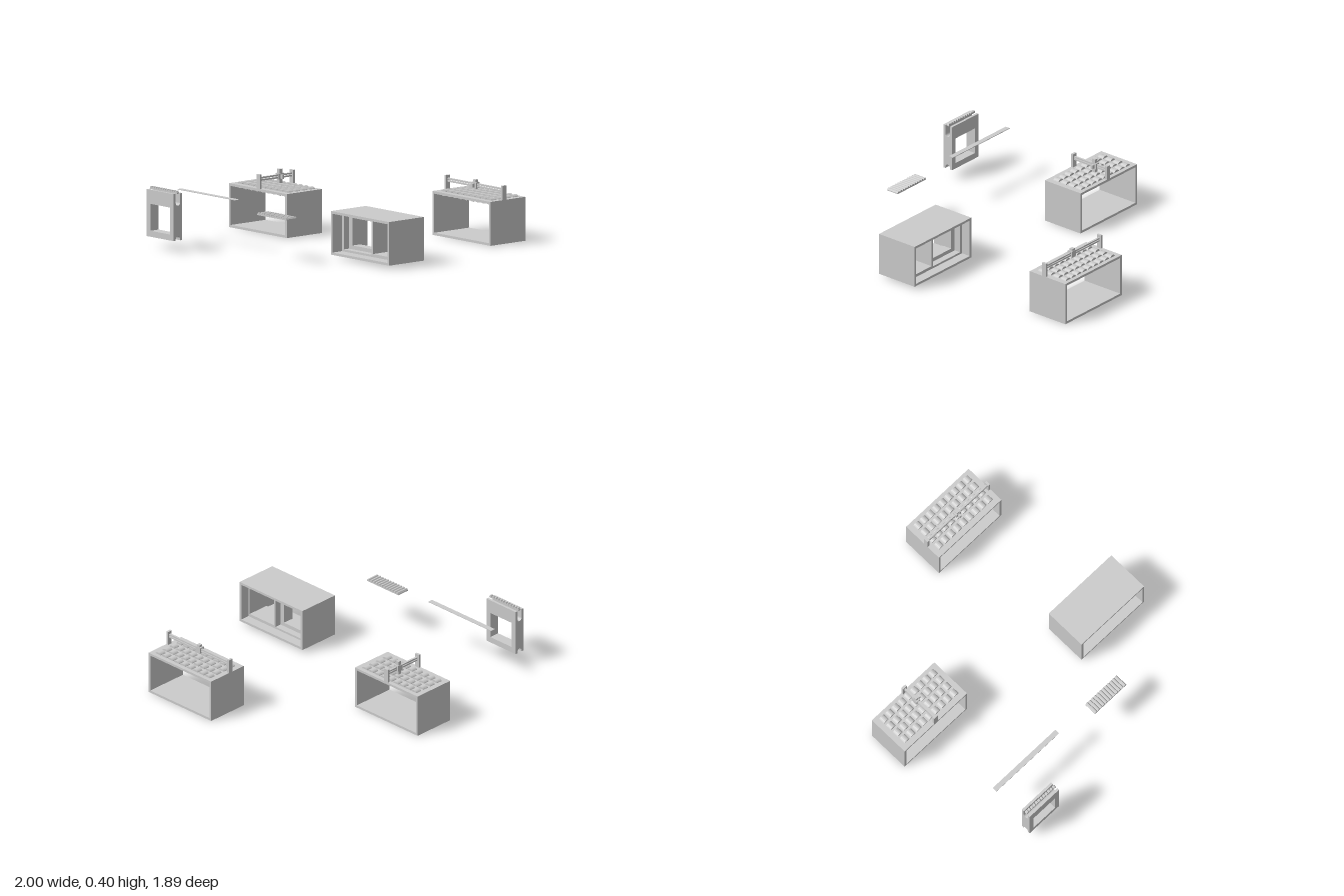
import * as THREE from 'three';

const mat = new THREE.MeshStandardMaterial({ color: 0xcccccc, flatShading: true, side: THREE.DoubleSide });

function add(parent, name, geo) {
  const m = new THREE.Mesh(geo, mat);
  m.name = name;
  parent.add(m);
  return m;
}

// Box given by its lower and upper limits
function box(parent, name, x0, x1, y0, y1, z0, z1) {
  const g = new THREE.BoxGeometry(x1 - x0, y1 - y0, z1 - z0);
  g.translate((x0 + x1) / 2, (y0 + y1) / 2, (z0 + z1) / 2);
  return add(parent, name, g);
}

// Closed outline from [a, y] points
const outline = pts => new THREE.Shape(pts.map(p => new THREE.Vector2(p[0], p[1])));
const rect = (a0, a1, y0, y1) => outline([[a0, y0], [a1, y0], [a1, y1], [a0, y1]]);

// Extrude a (z, y) outline along x, from x0 to x1
function alongX(shape, x0, x1) {
  const g = new THREE.ExtrudeGeometry(shape, { depth: x1 - x0, bevelEnabled: false, curveSegments: 10 });
  return g.rotateY(-Math.PI / 2).translate(x1, 0, 0);
}

// Extrude an (x, y) outline along z, from z0 to z1
function alongZ(shape, z0, z1) {
  return new THREE.ExtrudeGeometry(shape, { depth: z1 - z0, bevelEnabled: false, curveSegments: 10 }).translate(0, 0, z0);
}

// Rectangular wall with rectangular holes, facing x
function frame(parent, name, x0, x1, outer, ...holes) {
  const s = rect(...outer);
  holes.forEach(h => s.holes.push(rect(...h)));
  return add(parent, name, alongX(s, x0, x1));
}

// Strip with a toothed top, running along z
function rack(parent, name, x0, x1, yBase, yLow, yTop, z0, z1, teeth) {
  const pts = [[z0, yBase], [z1, yBase]];
  const p = (z1 - z0) / teeth;
  for (let i = teeth - 1; i >= 0; i--) {
    const z = z0 + i * p;
    pts.push([z + p, yLow], [z + p * 0.7, yTop], [z + p * 0.3, yTop]);
  }
  pts.push([z0, yLow]);
  return add(parent, name, alongX(outline(pts), x0, x1));
}

// Open tube box with four columns of rounded slats in its roof
function slattedBox(name, x0, z0) {
  const g = new THREE.Group();
  g.name = name;
  const W = 0.3, H = 0.287, L = 0.565, n = 9;
  frame(g, 'shell', x0, x0 + W, [z0, z0 + L, 0, H], [z0 + 0.016, z0 + L - 0.016, 0.016, H - 0.016]);
  const pitch = 0.5 / n;
  for (let c = 0; c < 4; c++) {
    const x = x0 + 0.04 + c * 0.063;
    for (let i = 0; i < n; i++) {
      const s = new THREE.Shape();
      s.absellipse(z0 + 0.033 + (i + 0.5) * pitch, 0.279, pitch * 0.46, 0.022, 0, Math.PI * 2);
      add(g, 'roofSlat', alongX(s, x, x + 0.044));
    }
  }
  return g;
}

// Posts, twin rods and a slider; the span runs along local z, centred
function sliderRail(span, slide, low, high, side) {
  const g = new THREE.Group();
  g.name = 'sliderRail';
  const h = span / 2;
  for (const s of [-1, 1]) {
    const a = s * h, b = s * (h - 0.016);
    box(g, 'post', -0.017, 0.017, 0.285, 0.38, Math.min(a, b), Math.max(a, b));
  }
  for (const y of [0.342, 0.357]) box(g, 'rod', -0.007, 0.007, y - 0.005, y + 0.005, -h + 0.01, h - 0.01);
  box(g, 'slider', -0.012, 0.012, low, high, slide - 0.012, slide + 0.012);
  box(g, 'sliderPlate', -0.015, 0.015, 0.33, 0.37, slide - 0.022, slide + 0.022);
  box(g, 'sliderKnob', Math.min(0, side * 0.034), Math.max(0, side * 0.034), 0.335, 0.36, slide - 0.008, slide + 0.008);
  return g;
}

// Shell with a large opening and a recessed window
function windowBox() {
  const g = new THREE.Group();
  g.name = 'windowBox';
  const x0 = -0.375, x1 = -0.075;
  frame(g, 'outerShell', x0, x1, [0.375, 0.942, 0.02, 0.305], [0.391, 0.927, 0.036, 0.289]);
  frame(g, 'innerFrame', -0.295, -0.14, [0.39, 0.928, 0.035, 0.29],
    [0.695, 0.915, 0.056, 0.272], [0.41, 0.68, 0.05, 0.272]);
  frame(g, 'windowPanel', -0.25, -0.185, [0.405, 0.685, 0.048, 0.275], [0.445, 0.65, 0.075, 0.255]);
  return g;
}

// Upright frame with a U channel on top, an arched groove below and a window
function slidingFrame() {
  const g = new THREE.Group();
  g.name = 'slidingFrame';
  const xl = -1, xr = -0.928, xc = -0.964, r = 0.019;
  const z0 = -0.712, z1 = -0.447, sill = 0.112, lintel = 0.288;

  const bottom = new THREE.Shape();
  bottom.moveTo(xl, sill);
  bottom.lineTo(xl, 0.073);
  bottom.lineTo(xc - r, 0.073);
  bottom.absarc(xc, 0.083, r, Math.PI, 0, true);
  bottom.lineTo(xc + r, 0.073);
  bottom.lineTo(xr, 0.073);
  bottom.lineTo(xr, sill);
  add(g, 'grooveSill', alongZ(bottom, z0, z1));

  const top = new THREE.Shape();
  top.moveTo(xl, lintel);
  top.lineTo(xr, lintel);
  top.lineTo(xr, 0.38);
  top.lineTo(xc + r, 0.38);
  top.lineTo(xc + r, 0.32);
  top.absarc(xc, 0.32, r, 0, Math.PI, true);
  top.lineTo(xc - r, 0.38);
  top.lineTo(xl, 0.38);
  add(g, 'channelLintel', alongZ(top, z0, z1));

  for (const z of [z0, z1 - 0.036]) box(g, 'jamb', xl, xr, sill, lintel, z, z + 0.036);
  rack(g, 'toothedBar', xc - 0.009, xc + 0.009, 0.379, 0.385, 0.397, z0, z1, 12);
  return g;
}

export function createModel() {
  const model = new THREE.Group();
  model.name = 'boxKit';

  // Box whose rail crosses its width
  const crossBox = slattedBox('crossRailBox', -0.09, -0.945);
  const crossRail = sliderRail(0.3, 0.035, 0.305, 0.397, -1);
  crossRail.rotation.y = Math.PI / 2;
  crossRail.position.set(0.06, 0, -0.66);
  crossBox.add(crossRail);
  model.add(crossBox);

  // Box whose rail runs along its length
  const longBox = slattedBox('longRailBox', 0.698, 0.145);
  const longRail = sliderRail(0.565, 0, 0.325, 0.385, -1);
  longRail.position.set(0.818, 0, 0.4275);
  longBox.add(longRail);
  model.add(longBox);

  model.add(windowBox(), slidingFrame());

  // Loose ridged plate and thin strip
  rack(model, 'ridgedPlate', -0.77, -0.682, 0.289, 0.295, 0.305, 0.106, 0.39, 12);
  box(model, 'thinStrip', -0.716, -0.682, 0.342, 0.346, -0.733, -0.165);
  return model;
}
